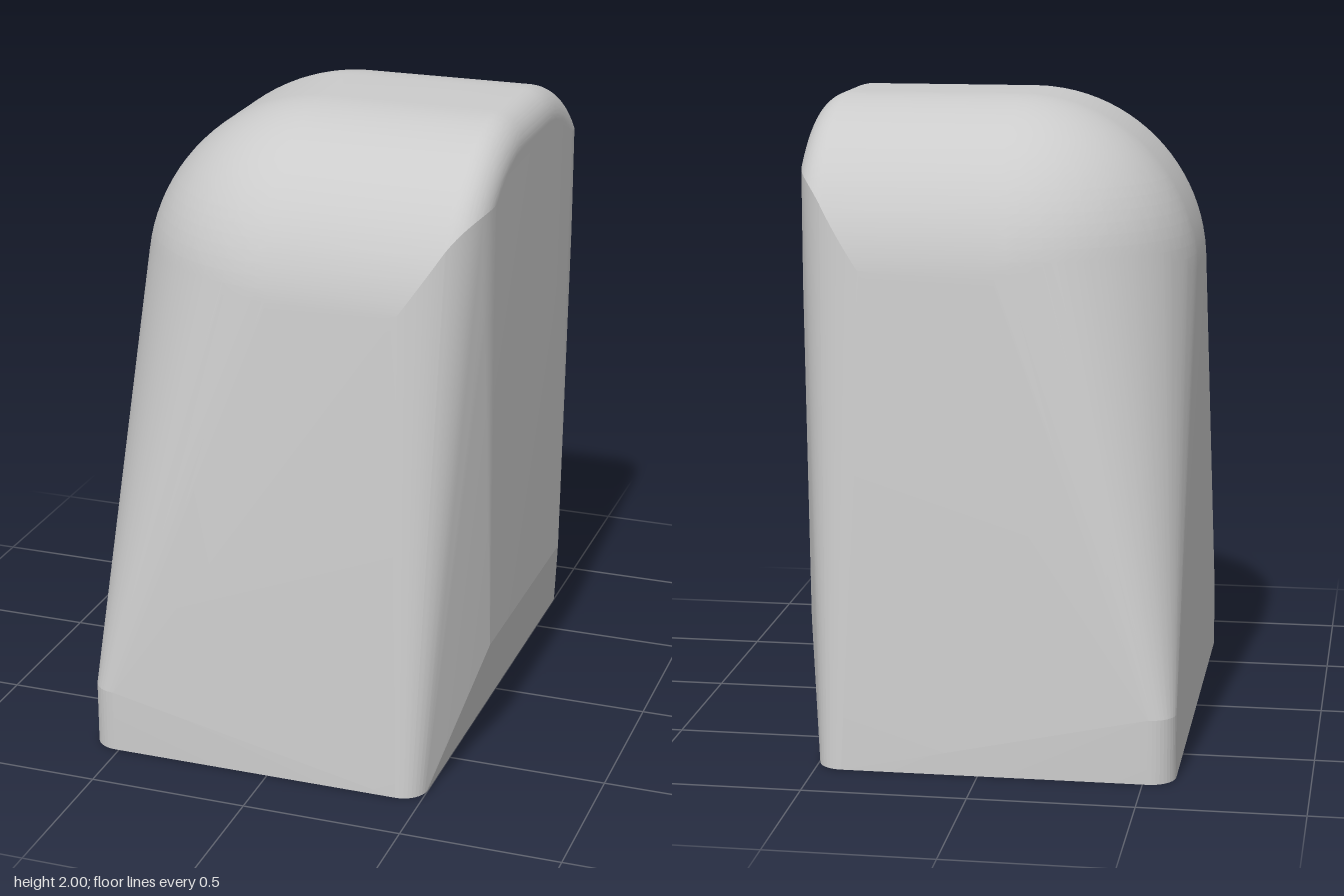
import * as THREE from 'three';
import { ConvexGeometry } from 'three/addons/geometries/ConvexGeometry.js';
import { toCreasedNormals } from 'three/addons/utils/BufferGeometryUtils.js';

const STEPS = 24;
const RIGHT = 0.595;                                  // flat side plane
const DOME = { x: -0.035, y: 1.44, z: 0.13, r: 0.56 }; // large top rounding
const FILLET = { x: 0.495, r: 0.1 };                  // small rounding along the top edge
const CORNER = { x: 0.325, z: 0.42, r: 0.27 };        // upright corner rounding

export function createModel() {
  const group = new THREE.Group();
  const points = [];
  // add a point on both the front and back halves
  const add = (x, y, z) => {
    points.push(new THREE.Vector3(x, y, z), new THREE.Vector3(x, y, -z));
  };
  const quarter = (i, n = STEPS) => (i / n) * Math.PI / 2;

  // upright foot with small rounded corners
  const r = 0.08;
  for (let i = 0; i <= 10; i++) {
    const c = r * Math.cos(quarter(i, 10)), s = r * Math.sin(quarter(i, 10));
    for (const y of [0, 0.2]) {
      add(-RIGHT + r - c, y, 0.8 - r + s);
      add(0.5 - r + c, 0, 0.8 - r + s);
    }
  }

  // lower corners of the flat side, above the undercut
  add(RIGHT, 0.36, 0.4);

  for (let i = 0; i <= STEPS; i++) {
    const a = quarter(i), ca = Math.cos(a), sa = Math.sin(a);
    for (let j = 0; j <= STEPS; j++) {
      const b = quarter(j), cb = Math.cos(b), sb = Math.sin(b);
      // ball-shaped corner of the dome
      add(DOME.x - DOME.r * ca * sb, DOME.y + DOME.r * sa, DOME.z + DOME.r * ca * cb);

      // filleted end of the dome, trimmed by the upright corner
      const R = DOME.r - FILLET.r + FILLET.r * cb;
      const x = FILLET.x + FILLET.r * sb, z = DOME.z + R * ca;
      if (z < CORNER.z || Math.hypot(x - CORNER.x, z - CORNER.z) <= CORNER.r) {
        add(x, DOME.y + R * sa, z);
      }
    }

    // upright rounded corner, reaching up to the dome
    const x = CORNER.x + CORNER.r * ca, z = CORNER.z + CORNER.r * sa;
    const d = Math.max(0, x - FILLET.x);
    const R = DOME.r - FILLET.r + Math.sqrt(Math.max(0, FILLET.r ** 2 - d * d));
    add(x, DOME.y, z);
    add(x, DOME.y + Math.sqrt(Math.max(0, R * R - (z - DOME.z) ** 2)), z);
    // dome edge where the upright corner begins
    add(CORNER.x, DOME.y + DOME.r * sa, DOME.z + DOME.r * ca);
  }

  const body = new THREE.Mesh(
    toCreasedNormals(new ConvexGeometry(points), 0.085),
    new THREE.MeshStandardMaterial({ color: 0xcccccc })
  );
  body.name = 'roundedBody';
  group.add(body);
  return group;
}
